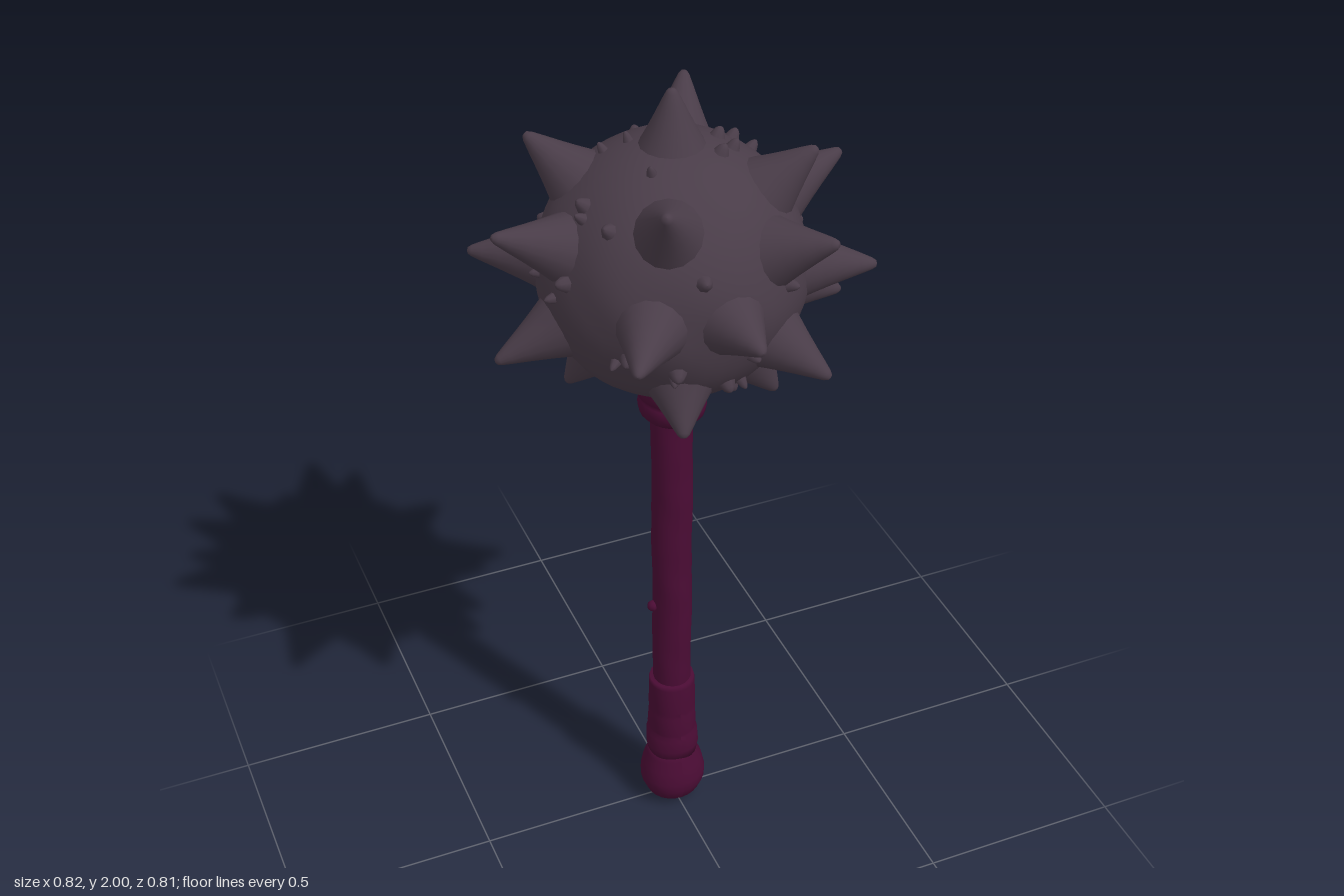
import * as THREE from 'three';

const CENTRE = new THREE.Vector3(0, 1.59, 0);
const RADIUS = 0.295;

// Small seeded random generator
function seeded(seed) {
  return () => {
    seed = (seed * 16807) % 2147483647;
    return seed / 2147483647;
  };
}

function lathe(points, segments) {
  return new THREE.LatheGeometry(points.map(([r, y]) => new THREE.Vector2(r, y)), segments);
}

// Gently uneven, hand-worked surface
function roughen(geometry, amount, frequency) {
  const p = geometry.attributes.position;
  const v = new THREE.Vector3();
  for (let i = 0; i < p.count; i++) {
    v.fromBufferAttribute(p, i);
    const n = Math.sin(v.x * frequency + 1.3 * Math.sin(v.y * frequency * 0.7))
      * Math.cos(v.z * frequency + v.y * frequency * 0.5);
    const k = 1 + amount * n;
    p.setXYZ(i, v.x * k, v.y, v.z * k);
  }
  geometry.computeVertexNormals();
  return geometry;
}

export function createModel() {
  const model = new THREE.Group();
  model.name = 'spikedMace';

  const iron = new THREE.MeshStandardMaterial({ color: 0x493c48 });
  iron.name = 'dark iron';
  const leather = new THREE.MeshStandardMaterial({ color: 0x4a0c34 });
  leather.name = 'wine leather';

  function add(parent, name, geometry, material) {
    const mesh = new THREE.Mesh(geometry, material);
    mesh.name = name;
    parent.add(mesh);
    return mesh;
  }

  // Handle parts
  const handle = new THREE.Group();
  handle.name = 'handle';
  model.add(handle);
  add(handle, 'pommel', roughen(lathe([
    [0, 0], [0.045, 0.006], [0.07, 0.025], [0.082, 0.055], [0.083, 0.08],
    [0.076, 0.115], [0.064, 0.145], [0.058, 0.17], [0, 0.17],
  ], 24), 0.03, 30), leather);
  add(handle, 'grip', roughen(lathe([
    [0, 0.15], [0.062, 0.15], [0.066, 0.18], [0.064, 0.215], [0.058, 0.225], [0.061, 0.235],
    [0.059, 0.29], [0.056, 0.3], [0.059, 0.31], [0.058, 0.385], [0.055, 0.397], [0, 0.397],
  ], 24), 0.025, 45), leather);
  const shaftProfile = [];
  for (let i = 0; i <= 24; i++) shaftProfile.push([0.047 + 0.002 * (i / 24), 0.37 + 0.85 * i / 24]);
  add(handle, 'shaft', roughen(lathe(shaftProfile, 20), 0.04, 38), leather);
  add(handle, 'collar', roughen(lathe([
    [0.045, 1.185], [0.06, 1.19], [0.074, 1.205], [0.079, 1.225], [0.076, 1.242], [0.071, 1.248],
    [0.081, 1.256], [0.084, 1.275], [0.082, 1.305], [0.07, 1.33], [0, 1.33],
  ], 24), 0.025, 30), leather);
  const knot = add(handle, 'knot', new THREE.SphereGeometry(0.014, 8, 6), leather);
  knot.position.set(-0.05, 0.635, 0);

  // Round iron head
  const head = new THREE.Group();
  head.name = 'head';
  head.position.copy(CENTRE);
  model.add(head);
  add(head, 'ball', roughen(new THREE.SphereGeometry(RADIUS, 48, 32), 0.015, 22), iron);

  // Spikes: tip positions relative to the ball
  const tips = [
    [0, 0.41, 0],
    [0.265, 0.29, 0.14], [-0.13, 0.29, 0.285], [-0.27, 0.29, -0.15], [0.15, 0.29, -0.29],
    [0.41, 0.17, -0.03], [0.23, 0.17, 0.325], [-0.41, 0.17, 0.03], [-0.2, 0.17, -0.34],
    [0.395, 0.01, 0.19], [0.03, 0.005, 0.405], [-0.235, 0.005, 0.385],
    [-0.395, 0.01, -0.2], [0.17, 0.01, -0.405],
    [0.405, -0.16, 0.01], [0.23, -0.16, 0.32], [-0.405, -0.16, -0.01], [-0.23, -0.16, -0.33],
    [-0.09, -0.255, 0.28], [0.1, -0.255, -0.28], [0.21, -0.325, 0.1], [-0.21, -0.325, -0.11],
  ];
  const up = new THREE.Vector3(0, 1, 0);
  for (const tip of tips) {
    const dir = new THREE.Vector3(...tip);
    const end = dir.length();
    const base = 0.265;
    const h = end - base;
    const spike = add(head, 'spike', lathe([
      [0.082, 0], [0.066, h * 0.2], [0.053, h * 0.37], [0.038, h * 0.58],
      [0.023, h * 0.8], [0.013, h * 0.94], [0.007, h * 0.99], [0, h],
    ], 16), iron);
    dir.normalize();
    spike.position.copy(dir).multiplyScalar(base);
    spike.quaternion.setFromUnitVectors(up, dir);
  }

  // Small studs scattered between the spikes
  const random = seeded(77);
  const tipDirs = tips.map((t) => new THREE.Vector3(...t).normalize());
  let count = 0;
  for (let i = 0; i < 400 && count < 44; i++) {
    const y = random() * 1.8 - 0.85;
    const a = random() * Math.PI * 2;
    const r = Math.sqrt(1 - y * y);
    const dir = new THREE.Vector3(r * Math.cos(a), y, r * Math.sin(a));
    if (tipDirs.some((t) => t.angleTo(dir) < 0.27)) continue;
    const s = 0.009 + random() * 0.007;
    const stud = add(head, 'stud', lathe([
      [s * 1.6, -0.008], [s * 1.1, 0.006], [s * 0.8, 0.015], [s * 0.4, 0.021], [0, 0.023],
    ], 8), iron);
    stud.position.copy(dir).multiplyScalar(RADIUS - 0.002);
    stud.quaternion.setFromUnitVectors(up, dir);
    count++;
  }

  return model;
}
